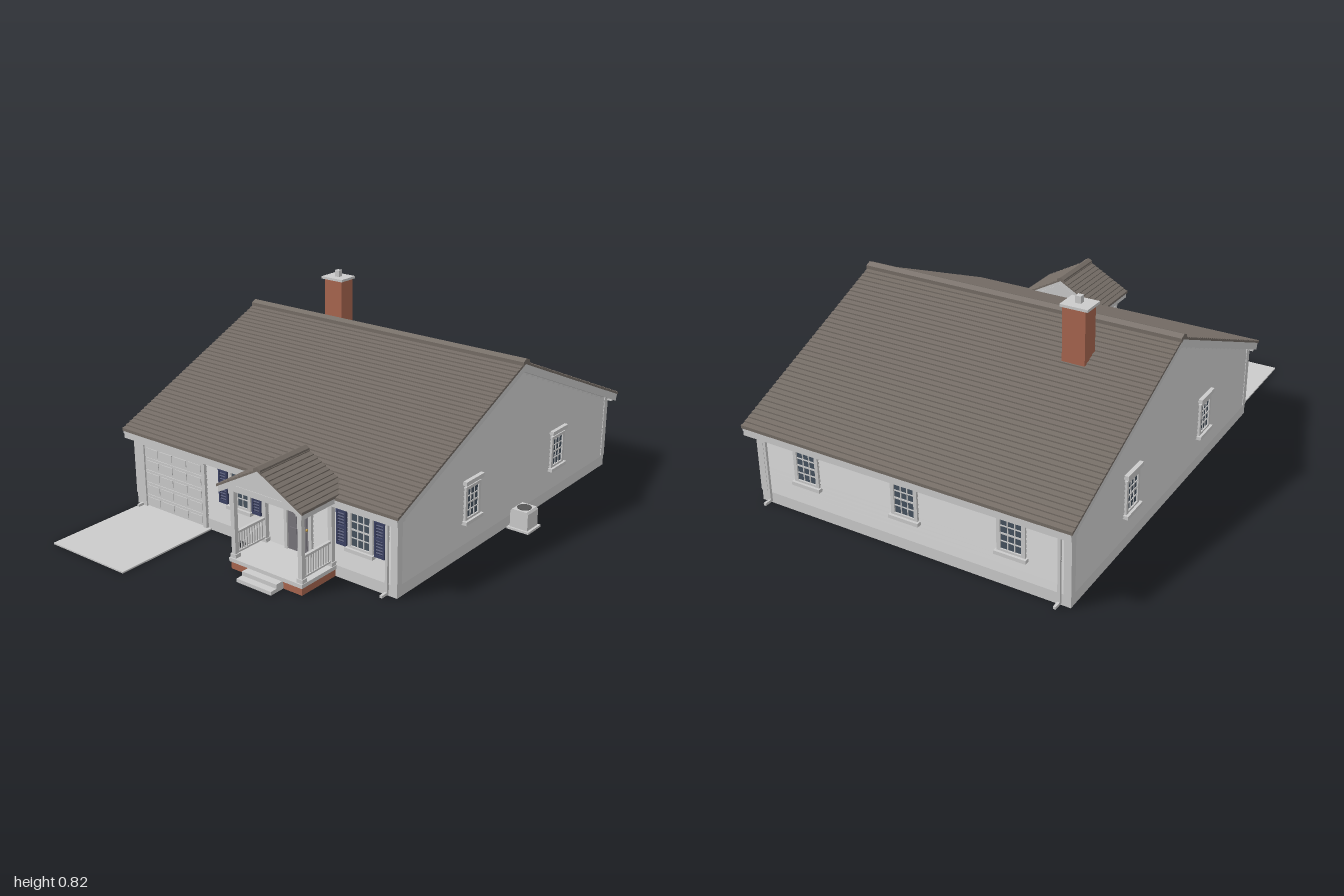
import * as THREE from 'three';

const paint = (color) => new THREE.MeshStandardMaterial({ color, flatShading: true });
const GREY = paint(0xcccccc), SHINGLE = paint(0x756d66), BRICK = paint(0xa8664f), GLASS = paint(0x46525f);
const NAVY = paint(0x3b4163), DOOR = paint(0x77747b), BRASS = paint(0xb8923a), DARK = paint(0x555555);

// Main house limits
const X0 = -0.675, X1 = 0.6, ZF = 0.545, ZB = -0.945, RIDGE_Z = -0.205;
const PITCH = 0.43, RIDGE_Y = 0.66, RUN = 0.79;
const wallTop = (z) => RIDGE_Y - 0.035 - PITCH * Math.abs(z - RIDGE_Z);

function add(parent, name, geo, mat = GREY) {
  const m = new THREE.Mesh(geo, mat);
  m.name = name;
  parent.add(m);
  return m;
}

// Box given by its limits on each axis
function box(parent, name, x0, x1, y0, y1, z0, z1, mat) {
  const m = add(parent, name, new THREE.BoxGeometry(x1 - x0, y1 - y0, z1 - z0), mat);
  m.position.set((x0 + x1) / 2, (y0 + y1) / 2, (z0 + z1) / 2);
  return m;
}

const outline = (pts) => new THREE.Shape(pts.map((p) => new THREE.Vector2(p[0], p[1])));
const alongZ = (pts, z0, z1) =>
  new THREE.ExtrudeGeometry(outline(pts), { depth: z1 - z0, bevelEnabled: false }).translate(0, 0, z0);
// Profile drawn in (z, y), swept along x
const alongX = (pts, x0, x1) => alongZ(pts, 0, x1 - x0).rotateY(-Math.PI / 2).translate(x1, 0, 0);

// Two-slope slab; courses > 1 gives stepped shingle rows
function roofProfile(c, ridge, run, pitch, thick, courses = 1, lift = 0) {
  const left = [];
  for (let i = 0; i < courses; i++) {
    const a = run * (1 - i / courses), b = run * (1 - (i + 1) / courses);
    left.push([-a, ridge - pitch * a + lift]);
    if (lift || i === courses - 1) left.push([-b, ridge - pitch * b]);
  }
  const right = left.slice(0, -1).reverse().map(([x, y]) => [-x, y]);
  const eave = ridge - pitch * run - thick;
  return [...left, ...right, [run, eave], [0, ridge - thick], [-run, eave]].map(([x, y]) => [x + c, y]);
}

// Wall window facing +z, centred on x = 0
function makeWindow(w, y0, y1, header) {
  const g = new THREE.Group(), h = w / 2;
  g.name = 'window';
  box(g, 'windowGlass', -h, h, y0, y1, 0, 0.006, GLASS);
  for (const s of [-1, 1]) box(g, 'windowJamb', s * (h + 0.007) - 0.007, s * (h + 0.007) + 0.007, y0 - 0.01, y1 + 0.012, 0, 0.012);
  box(g, 'windowHead', -h, h, y1, y1 + 0.012, 0, 0.012);
  box(g, 'windowSill', -h - 0.021, h + 0.021, y0 - 0.022, y0 - 0.008, 0, 0.022);
  box(g, 'windowApron', -h, h, y0 - 0.01, y0, 0, 0.012);
  for (const i of [1, 2]) {
    const x = -h + (w * i) / 3;
    box(g, 'muntin', x - 0.0018, x + 0.0018, y0, y1, 0, 0.009);
  }
  for (const i of [1, 2, 3]) {
    const y = y0 + ((y1 - y0) * i) / 4, t = i === 2 ? 0.003 : 0.0018;
    box(g, 'muntin', -h, h, y - t, y + t, 0, 0.009);
  }
  if (header) box(g, 'windowCornice', -h - 0.022, h + 0.022, y1 + 0.022, y1 + 0.038, 0, 0.02);
  return g;
}

function makeShutter() {
  const g = new THREE.Group();
  g.name = 'shutter';
  box(g, 'shutterBack', -0.022, 0.022, 0.135, 0.275, 0, 0.008, NAVY);
  for (const s of [-1, 1]) box(g, 'shutterStile', s * 0.0185 - 0.0035, s * 0.0185 + 0.0035, 0.135, 0.275, 0, 0.013, NAVY);
  for (const y of [0.135, 0.2, 0.265]) box(g, 'shutterRail', -0.016, 0.016, y, y + 0.01, 0, 0.013, NAVY);
  for (let i = 0; i < 10; i++) {
    const y = 0.152 + i * 0.0115;
    box(g, 'shutterSlat', -0.015, 0.015, y - 0.002, y + 0.002, 0, 0.012, NAVY).rotation.x = 0.5;
  }
  return g;
}

function makeWalls(house) {
  const core = [[ZB, 0], [ZF, 0], [ZF, wallTop(ZF)], [RIDGE_Z, wallTop(RIDGE_Z)], [ZB, wallTop(ZB)]];
  add(house, 'walls', alongX(core, X0, X1));
  box(house, 'foundation', X0 - 0.004, X1 + 0.004, 0, 0.045, ZB - 0.004, ZF + 0.004);
  // Lapped siding: thin wedge boards, shortened under the gables
  const row = 0.018, lap = 0.005;
  for (let y = 0.045; y < 0.6; y += row) {
    const front = [[ZF, y], [ZF + lap, y], [ZF, y + row]], back = [[ZB, y], [ZB, y + row], [ZB - lap, y]];
    if (y + row < 0.31) {
      add(house, 'siding', alongX(front, X0, X1));
      add(house, 'siding', alongX(back, X0, X1));
    }
    const half = (wallTop(RIDGE_Z) - y - row) / PITCH;
    const z0 = Math.max(ZB, RIDGE_Z - half), z1 = Math.min(ZF, RIDGE_Z + half);
    if (z1 - z0 < 0.03) continue;
    add(house, 'siding', alongZ([[X1, y], [X1 + lap, y], [X1, y + row]], z0, z1));
    add(house, 'siding', alongZ([[X0, y], [X0, y + row], [X0 - lap, y]], z0, z1));
  }
  // Corner boards and downspouts
  for (const [x, sx] of [[X0, 1], [X1, -1]]) {
    for (const [z, sz] of [[ZF, -1], [ZB, 1]]) {
      const c = box(house, 'cornerBoard', -0.014, 0.014, 0.045, 0.31, -0.014, 0.014);
      c.position.x = x + sx * 0.008;
      c.position.z = z + sz * 0.008;
      const d = new THREE.Group();
      d.name = 'downspout';
      box(d, 'downspoutPipe', -0.005, 0.005, 0.012, 0.31, 0.004, 0.014);
      box(d, 'downspoutFoot', -0.005, 0.005, 0.006, 0.016, 0.004, 0.042);
      d.position.set(x + sx * 0.036, 0, z);
      d.rotation.y = sz < 0 ? 0 : Math.PI;
      house.add(d);
    }
  }
}

function makeRoof(house) {
  add(house, 'roofDeck', alongX(roofProfile(RIDGE_Z, RIDGE_Y - 0.006, RUN - 0.004, PITCH, 0.032), -0.7, 0.625));
  add(house, 'shingles', alongX(roofProfile(RIDGE_Z, RIDGE_Y, RUN, PITCH, 0.007, 40, 0.005), -0.705, 0.63), SHINGLE);
  add(house, 'ridgeCap', alongX(roofProfile(RIDGE_Z, RIDGE_Y + 0.015, 0.022, PITCH, 0.018), -0.708, 0.633), SHINGLE);
  for (const s of [-1, 1]) {
    const z = (d) => RIDGE_Z + s * d;
    const strip = (name, a, b, y0, y1) => box(house, name, -0.7, 0.625, y0, y1, Math.min(z(a), z(b)), Math.max(z(a), z(b)));
    strip('soffit', 0.74, 0.775, 0.295, 0.303);
    strip('fascia', 0.768, 0.777, 0.295, 0.325);
    strip('gutter', 0.775, 0.789, 0.304, 0.32);
  }
}

function makeChimney(house) {
  box(house, 'chimneyStack', -0.435, -0.345, 0.5, 0.78, -0.417, -0.342, BRICK);
  box(house, 'chimneyCap', -0.447, -0.338, 0.78, 0.79, -0.425, -0.335);
  box(house, 'chimneyFlue', -0.402, -0.38, 0.79, 0.817, -0.39, -0.368);
}

function makeGarage(house) {
  box(house, 'driveway', -0.65, -0.272, 0, 0.006, ZF, 1);
  box(house, 'garageDoor', -0.617, -0.3, 0.006, 0.27, ZF, ZF + 0.006);
  for (const x of [-0.633, -0.303]) box(house, 'garageJamb', x, x + 0.016, 0.006, 0.272, ZF, ZF + 0.016);
  box(house, 'garageHeader', -0.637, -0.287, 0.27, 0.285, ZF, ZF + 0.02);
  for (let r = 0; r < 5; r++) {
    const y = 0.008 + r * 0.0525;
    box(house, 'garageSection', -0.617, -0.303, y, y + 0.049, ZF, ZF + 0.009);
    for (let c = 0; c < 4; c++) {
      const x = -0.609 + c * 0.077;
      box(house, 'garagePanel', x, x + 0.066, y + 0.01, y + 0.039, ZF, ZF + 0.012);
    }
  }
}

function makePorch(house) {
  const p = new THREE.Group(), c = 0.17;
  p.name = 'porch';
  p.position.x = c;
  house.add(p);
  box(p, 'porchBase', -0.165, 0.165, 0, 0.03, ZF, 0.732, BRICK);
  box(p, 'porchFloor', -0.17, 0.17, 0.03, 0.045, ZF, 0.738);
  box(p, 'upperStep', -0.08, 0.08, 0, 0.03, 0.73, 0.768);
  box(p, 'lowerStep', -0.08, 0.08, 0, 0.014, 0.765, 0.797);
  // Posts, side beams and railings
  for (const s of [-1, 1]) {
    const x = s * 0.155;
    for (const z of [0.558, 0.72]) {
      box(p, 'porchPost', x - 0.009, x + 0.009, 0.045, 0.31, z - 0.009, z + 0.009);
      box(p, 'postBase', x - 0.013, x + 0.013, 0.045, 0.06, z - 0.013, z + 0.013);
      box(p, 'postCapital', x - 0.013, x + 0.013, 0.295, 0.31, z - 0.013, z + 0.013);
    }
    box(p, 'sideBeam', x - 0.013, x + 0.013, 0.308, 0.332, ZF, 0.735);
    box(p, 'topRail', x - 0.006, x + 0.006, 0.134, 0.143, 0.56, 0.715);
    box(p, 'bottomRail', x - 0.005, x + 0.005, 0.058, 0.065, 0.56, 0.715);
    for (let i = 1; i < 11; i++) {
      const z = 0.565 + i * 0.0135;
      box(p, 'baluster', x - 0.0025, x + 0.0025, 0.06, 0.138, z - 0.0025, z + 0.0025);
    }
  }
  box(p, 'frontBeam', -0.168, 0.168, 0.308, 0.332, 0.709, 0.735);
  box(p, 'porchCeiling', -0.16, 0.16, 0.316, 0.322, ZF, 0.72);
  // Gabled porch roof
  add(p, 'pediment', alongZ([[-0.17, 0.322], [0.17, 0.322], [0, 0.415]], 0.505, 0.733));
  add(p, 'porchRoofDeck', alongZ(roofProfile(0, 0.432, 0.191, 0.55, 0.026), 0.507, 0.758));
  add(p, 'porchShingles', alongZ(roofProfile(0, 0.436, 0.196, 0.55, 0.006, 11, 0.004), 0.505, 0.762), SHINGLE);
  add(p, 'porchRidgeCap', alongZ(roofProfile(0, 0.447, 0.016, 0.55, 0.014), 0.505, 0.764), SHINGLE);
  // Front door and wall lamp
  box(p, 'frontDoor', -0.05, 0.05, 0.045, 0.27, ZF, ZF + 0.008, DOOR);
  for (const s of [-1, 1]) {
    box(p, 'doorJamb', s * 0.057 - 0.007, s * 0.057 + 0.007, 0.045, 0.27, ZF, ZF + 0.015);
    for (const [a, b] of [[0.06, 0.135], [0.155, 0.255]])
      box(p, 'doorPanel', s * 0.023 - 0.016, s * 0.023 + 0.016, a, b, ZF, ZF + 0.011, DOOR);
  }
  box(p, 'doorHeader', -0.067, 0.067, 0.27, 0.293, ZF, ZF + 0.018);
  add(p, 'doorKnob', new THREE.SphereGeometry(0.005, 8, 6), BRASS).position.set(0.042, 0.145, ZF + 0.013);
  box(p, 'wallLamp', 0.069, 0.083, 0.228, 0.252, ZF, ZF + 0.018, BRASS);
}

function makeCooler(house) {
  const z = -0.2;
  box(house, 'coolerPad', 0.61, 0.705, 0, 0.009, z - 0.046, z + 0.046);
  const body = [[0.618, 0.009], [0.695, 0.009], [0.695, 0.076], [0.688, 0.084], [0.625, 0.084], [0.618, 0.076]];
  add(house, 'coolerBody', alongZ(body, z - 0.038, z + 0.038));
  const grille = add(house, 'coolerGrille', new THREE.CylinderGeometry(0.028, 0.028, 0.003, 20), DARK);
  grille.position.set(0.657, 0.085, z);
}

export function createModel() {
  const house = new THREE.Group();
  house.name = 'house';
  makeWalls(house);
  makeRoof(house);
  makeChimney(house);
  makeGarage(house);
  makePorch(house);
  makeCooler(house);

  const place = (obj, x, z, turn) => {
    obj.position.set(x, 0, z);
    obj.rotation.y = turn;
    house.add(obj);
  };
  // Front windows with shutters, then side and back windows
  for (const x of [-0.113, 0.45]) {
    place(makeWindow(0.08, 0.145, 0.27, false), x, ZF, 0);
    for (const s of [-1, 1]) place(makeShutter(), x + s * 0.083, ZF, 0);
  }
  for (const z of [0.095, -0.525]) {
    place(makeWindow(0.072, 0.15, 0.262, true), X1, z, Math.PI / 2);
    place(makeWindow(0.072, 0.15, 0.262, true), X0, z, -Math.PI / 2);
  }
  for (const x of [0.38, -0.04, -0.46]) place(makeWindow(0.08, 0.145, 0.262, true), x, ZB, Math.PI);
  return house;
}
